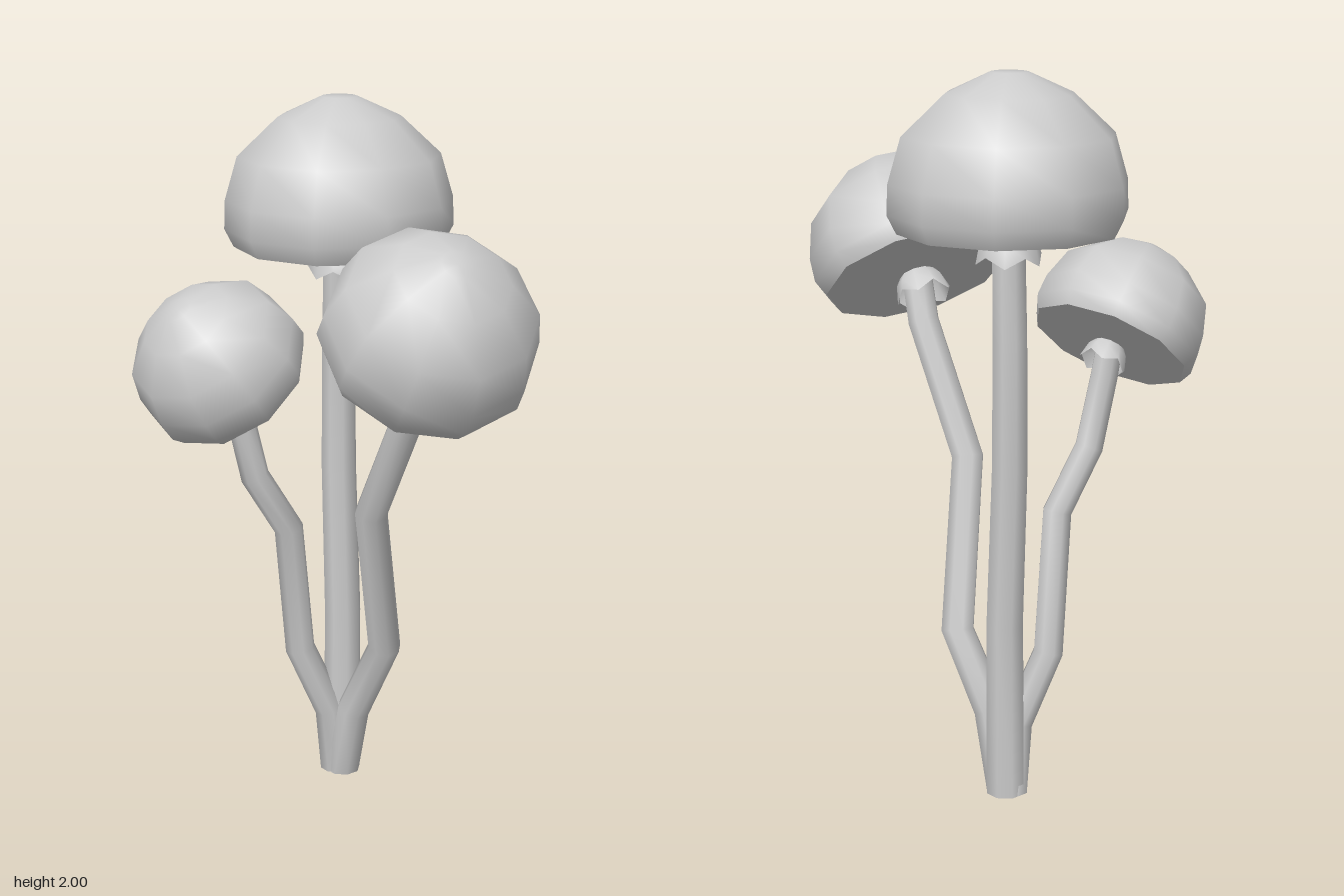
import * as THREE from 'three';

const grey = new THREE.MeshStandardMaterial({ color: 0xcccccc });
const greyThin = new THREE.MeshStandardMaterial({ color: 0xcccccc, side: THREE.DoubleSide });
const UP = new THREE.Vector3(0, 1, 0);
const SIDES = 10;

function addMesh(group, name, geometry, material = grey) {
  const mesh = new THREE.Mesh(geometry, material);
  mesh.name = name;
  group.add(mesh);
  return mesh;
}

const lathe = (points) => new THREE.LatheGeometry(
  points.map(([r, y]) => new THREE.Vector2(r, y)), SIDES, Math.PI / 2);

// Kinked stem: one ring per path point, square to the local direction
function stemGeometry(path, rBase, rTop) {
  const pts = path.map((p) => new THREE.Vector3(...p));
  const n = 8, pos = [], index = [];
  pts.forEach((p, i) => {
    const before = pts[Math.max(i - 1, 0)], after = pts[Math.min(i + 1, pts.length - 1)];
    const dir = i === 0 ? UP : after.clone().sub(before).normalize();
    const q = new THREE.Quaternion().setFromUnitVectors(UP, dir);
    const r = THREE.MathUtils.lerp(rBase, rTop, i / (pts.length - 1));
    for (let k = 0; k < n; k++) {
      const a = (k / n) * Math.PI * 2;
      const v = new THREE.Vector3(r * Math.sin(a), 0, r * Math.cos(a)).applyQuaternion(q).add(p);
      pos.push(v.x, v.y, v.z);
      if (i > 0) {
        const k2 = (k + 1) % n, lo = (i - 1) * n, hi = i * n;
        index.push(lo + k, lo + k2, hi + k, lo + k2, hi + k2, hi + k);
      }
    }
  });
  const g = new THREE.BufferGeometry();
  g.setAttribute('position', new THREE.Float32BufferAttribute(pos, 3));
  g.setIndex(index);
  g.computeVertexNormals();
  return g;
}

// Flared skirt under the cap with a ragged lower edge
function collarGeometry() {
  const g = lathe([[0.088, -0.07], [0.075, -0.025], [0.05, 0.01]]);
  const p = g.attributes.position;
  for (let s = 0; s <= SIDES; s++) p.setY(s * 3, -0.07 + (s % 2 ? -0.017 : 0.01));
  g.computeVertexNormals();
  return g;
}

function makeMushroom(name, { path, radius, cap, axis, scale }) {
  const group = new THREE.Group();
  group.name = name;
  addMesh(group, 'stem', stemGeometry(path, radius[0], radius[1]));

  // Cut end of the stem
  const foot = addMesh(group, 'stemFoot', new THREE.CircleGeometry(radius[0], 8));
  foot.rotation.x = Math.PI / 2;
  foot.position.set(...path[0]);

  // Domed cap, flat underside and collar share one tilt
  const head = new THREE.Group();
  head.name = 'head';
  addMesh(head, 'cap', lathe([[0.295, 0], [0.32, 0.05], [0.317, 0.13], [0.282, 0.25],
    [0.17, 0.355], [0.05, 0.41], [0, 0.41]]));
  addMesh(head, 'capUnderside', lathe([[0, 0], [0.295, 0]]));
  addMesh(head, 'collar', collarGeometry(), greyThin);
  head.position.set(...cap);
  head.scale.setScalar(scale);
  head.quaternion.setFromUnitVectors(UP, new THREE.Vector3(...axis).normalize());
  group.add(head);
  return group;
}

export function createModel() {
  const model = new THREE.Group();
  model.name = 'mushroomCluster';

  model.add(makeMushroom('tallMushroom', {
    path: [[-0.155, 0, -0.145], [-0.153, 0.5, -0.15], [-0.172, 0.95, -0.163],
      [-0.172, 1.3, -0.165], [-0.163, 1.6, -0.157]],
    radius: [0.056, 0.046], cap: [-0.163, 1.59, -0.157], axis: [0, 1, 0], scale: 1,
  }));
  model.add(makeMushroom('leftMushroom', {
    path: [[-0.145, 0, -0.135], [-0.09, 0.22, -0.105], [0.015, 0.44, -0.1],
      [0.055, 0.9, 0.05], [0.225, 1.26, 0.118], [0.258, 1.39, 0.142]],
    radius: [0.05, 0.044], cap: [0.255, 1.386, 0.143], axis: [0.48, 0.79, 0.38], scale: 0.9,
  }));
  model.add(makeMushroom('rightMushroom', {
    path: [[-0.17, 0, -0.135], [-0.175, 0.2, -0.11], [-0.243, 0.4, -0.055],
      [-0.24, 0.79, 0.005], [-0.297, 0.96, 0.09], [-0.325, 1.16, 0.125], [-0.335, 1.24, 0.135]],
    radius: [0.046, 0.038], cap: [-0.335, 1.24, 0.135], axis: [-0.14, 0.77, 0.62], scale: 0.755,
  }));
  return model;
}
